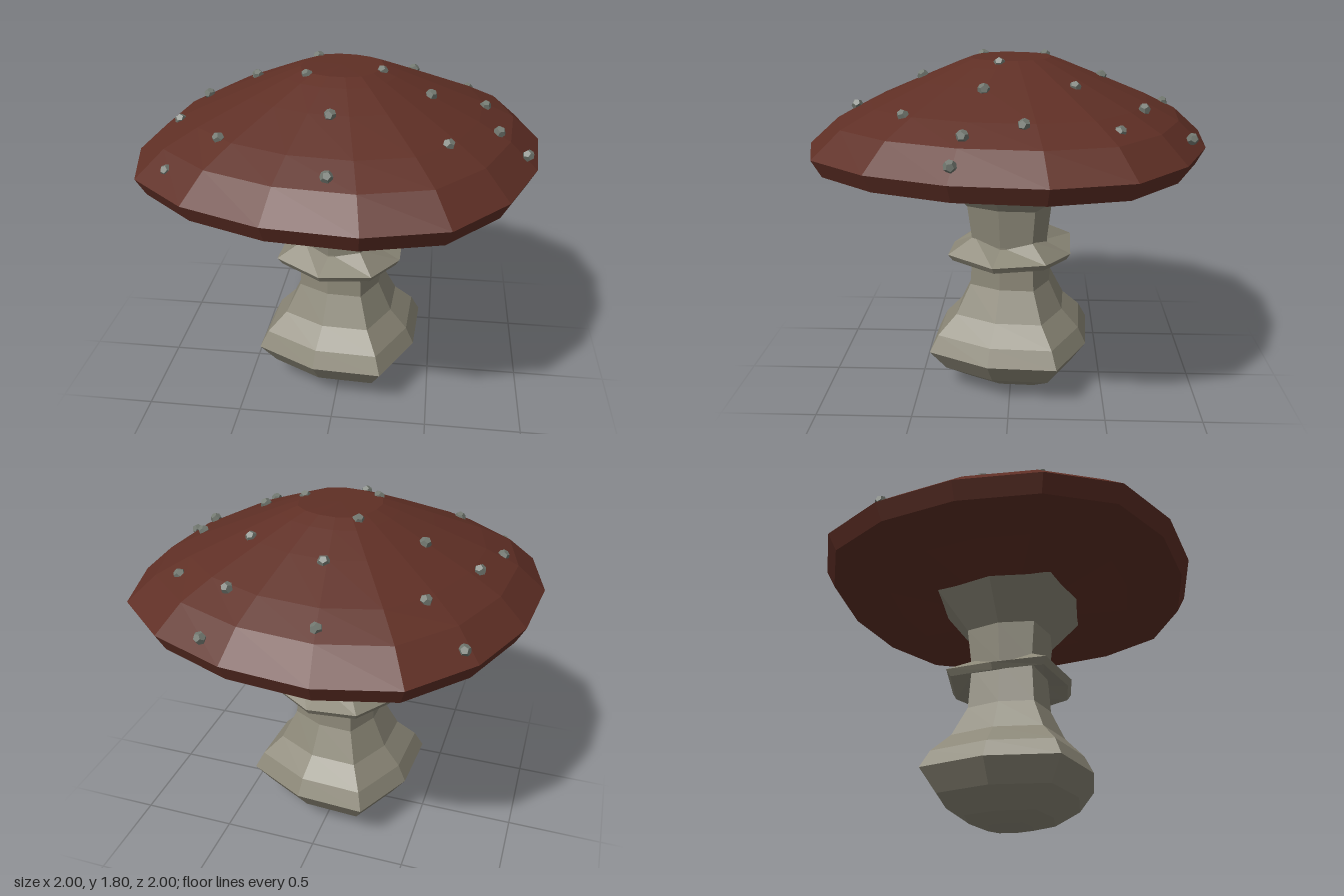
import * as THREE from 'three';

const mat = (name, color, extra = {}) => {
  const m = new THREE.MeshStandardMaterial({ color, flatShading: true, ...extra });
  m.name = name;
  return m;
};

// Joins rings of points (listed from the bottom, outwards and up) into a faceted skin
function loft(rings) {
  const n = rings[0].length, pos = [], index = [];
  rings.forEach(ring => ring.forEach(p => pos.push(...p)));
  for (let j = 0; j < rings.length - 1; j++) {
    for (let i = 0; i < n; i++) {
      const k = (i + 1) % n;
      const a = j * n + i, b = j * n + k, c = a + n, d = b + n;
      index.push(a, c, d, a, d, b);
    }
  }
  const g = new THREE.BufferGeometry();
  g.setAttribute('position', new THREE.Float32BufferAttribute(pos, 3));
  g.setIndex(index);
  const flat = g.toNonIndexed();
  flat.computeVertexNormals();
  return flat;
}

// Rounded-square ring: four corners and four side middles, turned to 60 degrees
function squareRing(corner, yCorner, middle = corner * 0.86, yMiddle = yCorner) {
  return Array.from({ length: 8 }, (_, i) => {
    const a = Math.PI / 3 + i * Math.PI / 4;
    const r = i % 2 ? middle : corner;
    return [r * Math.cos(a), i % 2 ? yMiddle : yCorner, r * Math.sin(a)];
  });
}

// Cap outline: one quarter repeated by quarter turns
const quarter = [[1, -0.19], [0.96, 0.23], [0.81, 0.61], [0.56, 0.9]];
const outline = [];
for (let q = 0; q < 4; q++) {
  for (const [x, z] of quarter) {
    outline.push([[x, z], [-z, x], [-x, -z], [z, -x]][q]);
  }
}
const capRing = ([s, y]) => outline.map(([x, z]) => [x * s, y, z * s]);

// Cap profile as [scale, height]
const capUnder = [[0, 1.225], [0.38, 1.225], [0.66, 1.275], [0.955, 1.29]];
const capTop = [[1, 1.375], [0.86, 1.5], [0.7, 1.58], [0.45, 1.685], [0.28, 1.755], [0.2, 1.785], [0, 1.787]];

// Height of the cap at a given scale
function capHeight(s) {
  for (let i = 0; i < capTop.length - 1; i++) {
    const [s0, y0] = capTop[i], [s1, y1] = capTop[i + 1];
    if (s <= s0 && s >= s1) return y0 + (y1 - y0) * (s0 - s) / (s0 - s1);
  }
  return capTop[0][1];
}

export function createModel() {
  const group = new THREE.Group();
  const capMat = mat('cap brown red', 0x5f2f25);
  const stemMat = mat('stem grey beige', 0x8b8777);
  const spotMat = mat('spot grey', 0x727870);

  const add = (name, geometry, material, parent = group) => {
    const mesh = new THREE.Mesh(geometry, material);
    mesh.name = name;
    parent.add(mesh);
    return mesh;
  };

  // Cap
  add('cap', loft([...capUnder, ...capTop].map(capRing)), capMat);

  // Stem with bulbous foot: [half width, height]
  const stemProfile = [
    [0, 0], [0.11, 0], [0.22, 0.035], [0.35, 0.125], [0.43, 0.24], [0.385, 0.33], [0.29, 0.43],
    [0.215, 0.59], [0.2, 0.82], [0.225, 1.03], [0.38, 1.23],
  ];
  add('stem', loft(stemProfile.map(([w, y]) => squareRing(w / Math.cos(Math.PI / 6), y))), stemMat);

  // Flared ring around the stem, dipping between its corners
  add('skirt', loft([
    squareRing(0.22, 0.8, 0.18, 0.78),
    squareRing(0.35, 0.745, 0.31, 0.722),
    squareRing(0.375, 0.78, 0.33, 0.755),
    squareRing(0.22, 0.86, 0.18, 0.82),
  ]), stemMat);

  // Small spots scattered on the cap: [x, z]
  const spots = new THREE.Group();
  spots.name = 'spots';
  group.add(spots);
  const places = [
    [0.35, -0.87], [-0.15, -0.79], [0.32, -0.64], [-0.74, -0.6], [-0.54, -0.48], [-0.07, -0.46],
    [0.63, -0.5], [0.34, -0.31], [-0.14, -0.17], [-0.71, -0.11], [-0.45, -0.12], [0.71, -0.08],
    [0.2, 0.05], [0.44, 0.11], [-0.15, 0.15], [-0.78, 0.18], [0.77, 0.18], [0.91, 0.22],
    [0, 0.45], [-0.5, 0.51], [0.53, 0.47], [-0.73, 0.59], [0.03, 0.79],
  ];
  const spotGeo = new THREE.DodecahedronGeometry(0.03);
  places.forEach(([x, z], i) => {
    const spot = add('spot', spotGeo, spotMat, spots);
    const y = capHeight(Math.hypot(x, z) / 1.015);
    spot.position.set(x, Math.min(y, 1.775), z);
    spot.rotation.set(z * 0.6, i * 1.3, -x * 0.6);
  });

  return group;
}
